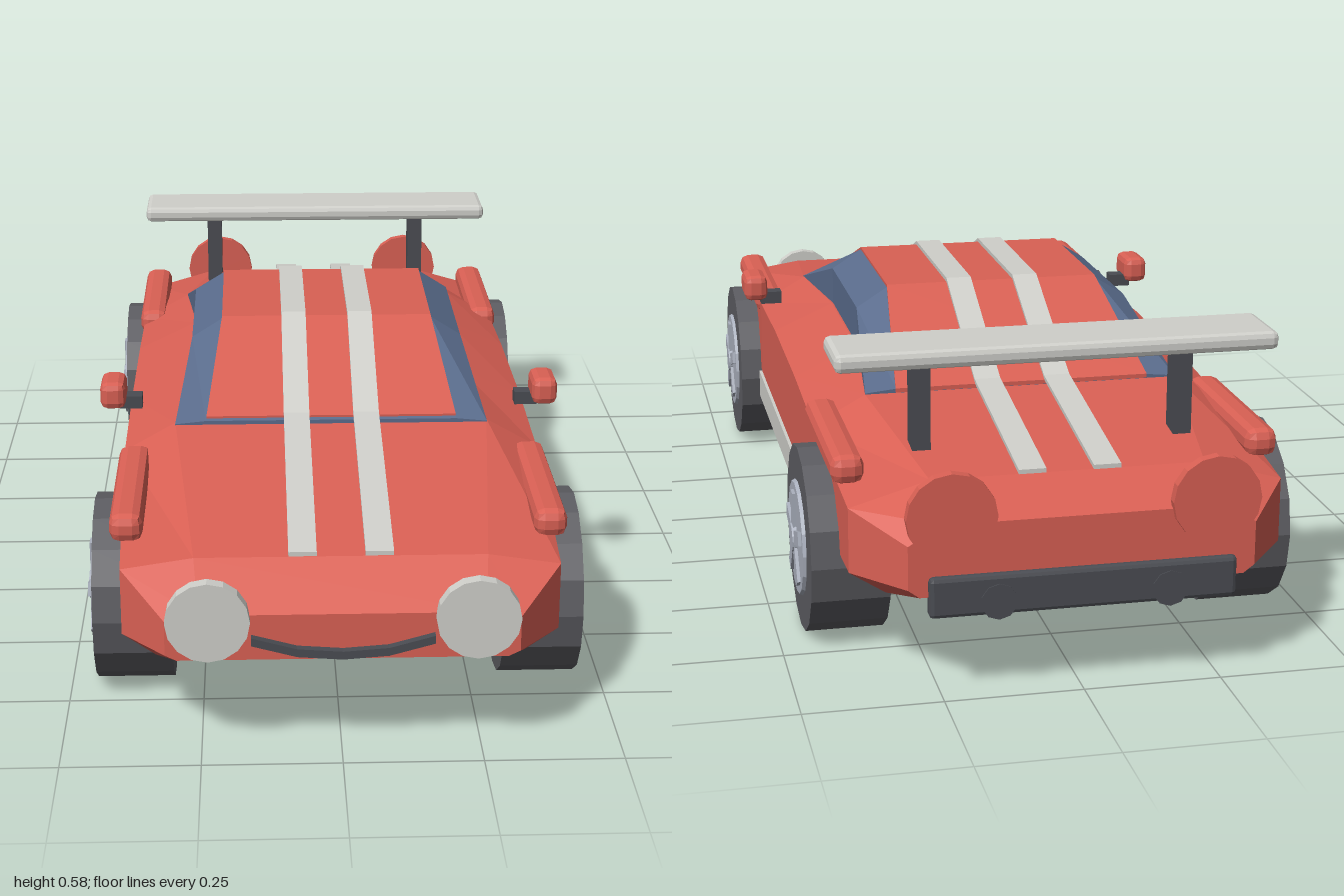
import * as THREE from 'three';
import { RoundedBoxGeometry } from 'three/addons/geometries/RoundedBoxGeometry.js';

const paint = (name, color) => {
  const m = new THREE.MeshStandardMaterial({ color });
  m.name = name;
  return m;
};

// Flat facets: unshare the corners and recompute normals.
function facet(geo) {
  const g = geo.index ? geo.toNonIndexed() : geo;
  g.computeVertexNormals();
  return g;
}

// Loft through mirrored half sections [z, [x, y]...], listed front to back, bottom to top.
function loft(sections) {
  const rings = sections.map(([z, ...half]) => [
    ...half.map(([x, y]) => [x, y, z]),
    ...half.slice().reverse().map(([x, y]) => [-x, y, z]),
  ]);
  const n = rings[0].length, pos = [];
  const tri = (...pts) => pts.forEach((p) => pos.push(...p));
  for (let s = 0; s < rings.length - 1; s++) {
    const a = rings[s], b = rings[s + 1];
    for (let i = 0; i < n; i++) {
      const j = (i + 1) % n;
      tri(a[i], b[i], b[j]);
      tri(a[i], b[j], a[j]);
    }
  }
  const f = rings[0], r = rings[rings.length - 1];
  for (let i = 1; i < n - 1; i++) {
    tri(f[0], f[i], f[i + 1]);
    tri(r[0], r[i + 1], r[i]);
  }
  const g = new THREE.BufferGeometry();
  g.setAttribute('position', new THREE.Float32BufferAttribute(pos, 3));
  g.computeVertexNormals();
  return g;
}

// Thin strip following points [z, y, halfWidth].
const strip = (path, t) => loft(path.map(([z, y, w]) => [z, [w, y - t], [w, y]]));

export function createModel() {
  const car = new THREE.Group();
  car.name = 'sportsCar';
  const red = paint('red paint', 0xd96054);
  const pale = paint('pale grey', 0xcfcfca);
  const glass = paint('blue glass', 0x5a6c8c);
  const rubber = paint('tyre grey', 0x5c5c61);
  const trim = paint('dark trim', 0x4a4c52);
  const alloy = paint('alloy', 0xaab0bd);

  const add = (name, geo, mat, x = 0, y = 0, z = 0, parent = car) => {
    const m = new THREE.Mesh(geo, mat);
    m.name = name;
    m.position.set(x, y, z);
    parent.add(m);
    return m;
  };
  const chamfered = (w, h, d, r) => facet(new RoundedBoxGeometry(w, h, d, 1, r));
  const box = (w, h, d) => new THREE.BoxGeometry(w, h, d);
  const disc = (r, d, n = 16) => facet(new THREE.CylinderGeometry(r, r, d, n).rotateX(Math.PI / 2));

  // Lower body: floor edge, sill edge, shoulder, deck edge
  add('body', loft([
    [0.98, [0.29, 0.195], [0.31, 0.205], [0.31, 0.27], [0.25, 0.28]],
    [0.88, [0.33, 0.158], [0.39, 0.2], [0.39, 0.325], [0.26, 0.345]],
    [0.4, [0.335, 0.155], [0.405, 0.2], [0.405, 0.365], [0.305, 0.422]],
    [0.12, [0.335, 0.155], [0.405, 0.2], [0.405, 0.375], [0.28, 0.43]],
    [-0.22, [0.335, 0.155], [0.405, 0.2], [0.405, 0.37], [0.28, 0.43]],
    [-0.5, [0.335, 0.155], [0.405, 0.2], [0.405, 0.355], [0.305, 0.41]],
    [-0.87, [0.33, 0.158], [0.395, 0.2], [0.395, 0.32], [0.25, 0.362]],
    [-0.985, [0.29, 0.19], [0.31, 0.205], [0.31, 0.285], [0.25, 0.32]],
  ]), red);

  // Glasshouse, with a painted shell over screen, roof and tail
  add('windows', loft([
    [0.41, [0.305, 0.4], [0.305, 0.422], [0.245, 0.428]],
    [0.12, [0.277, 0.4], [0.277, 0.507], [0.215, 0.546]],
    [-0.22, [0.277, 0.4], [0.277, 0.507], [0.215, 0.546]],
    [-0.5, [0.305, 0.39], [0.305, 0.412], [0.245, 0.418]],
  ]), glass);
  add('roofShell', strip([
    [0.403, 0.435, 0.244], [0.12, 0.551, 0.215], [-0.22, 0.551, 0.215], [-0.505, 0.42, 0.247],
  ], 0.008), red);

  // Two racing stripes
  const stripe = strip([
    [0.89, 0.358, 0.025], [0.405, 0.442, 0.025], [0.12, 0.559, 0.025],
    [-0.22, 0.559, 0.025], [-0.5, 0.428, 0.025], [-0.88, 0.373, 0.025],
  ], 0.008);

  // Rear wing
  add('wing', chamfered(0.81, 0.034, 0.15, 0.011), pale, 0, 0.56, -0.735);

  // Smile-shaped grille
  const grin = new THREE.Shape();
  grin.moveTo(-0.16, 0.228);
  for (const [x, y] of [[-0.08, 0.206], [0, 0.2], [0.08, 0.206], [0.16, 0.228],
    [0.16, 0.243], [0.08, 0.221], [0, 0.215], [-0.08, 0.221], [-0.16, 0.243]]) grin.lineTo(x, y);
  add('grille', new THREE.ExtrudeGeometry(grin, { depth: 0.02, bevelEnabled: false }), trim, 0, 0, 0.975);

  // Rear bumper
  add('rearBumper', chamfered(0.55, 0.075, 0.03, 0.008), trim, 0, 0.19, -0.983);

  // One wheel, outer face toward +x
  const makeWheel = () => {
    const wheel = new THREE.Group();
    wheel.name = 'wheel';
    const along = (r1, r2, w) => facet(new THREE.CylinderGeometry(r1, r2, w, 16).rotateZ(-Math.PI / 2));
    add('tyre', along(0.175, 0.175, 0.145), rubber, 0, 0, 0, wheel);
    add('rim', along(0.106, 0.11, 0.008), alloy, 0.075, 0, 0, wheel);
    for (let i = 0; i < 5; i++) {
      const a = (i / 5) * Math.PI * 2;
      const s = add('spoke', box(0.008, 0.07, 0.026), alloy,
        0.081, Math.cos(a) * 0.055, Math.sin(a) * 0.055, wheel);
      s.rotation.x = a;
    }
    add('hubCap', along(0.026, 0.03, 0.012), alloy, 0.082, 0, 0, wheel);
    return wheel;
  };

  for (const s of [1, -1]) {
    add('stripe', stripe, pale, s * 0.068);
    add('wingPost', box(0.034, 0.19, 0.045), trim, s * 0.243, 0.455, -0.73);
    add('headlight', disc(0.074, 0.024), pale, s * 0.235, 0.273, 0.985);
    add('tailLight', disc(0.08, 0.02), red, s * 0.235, 0.335, -0.988);
    add('exhaust', disc(0.033, 0.03, 10), trim, s * 0.153, 0.178, -0.985);
    add('sideSkirt', box(0.06, 0.06, 0.9), pale, s * 0.379, 0.163, 0);
    add('mirrorArm', box(0.045, 0.026, 0.032), trim, s * 0.398, 0.418, 0.254);
    add('mirror', chamfered(0.05, 0.055, 0.09, 0.014), red, s * 0.432, 0.443, 0.265);
    for (const z of [0.61, -0.615]) {
      add('fender', chamfered(0.06, 0.053, 0.375, 0.018), red, s * 0.383, 0.363, z);
      const wheel = makeWheel();
      wheel.position.set(s * 0.3775, 0.175, z > 0 ? 0.61 : -0.61);
      if (s < 0) wheel.rotation.y = Math.PI;
      car.add(wheel);
    }
  }
  return car;
}
